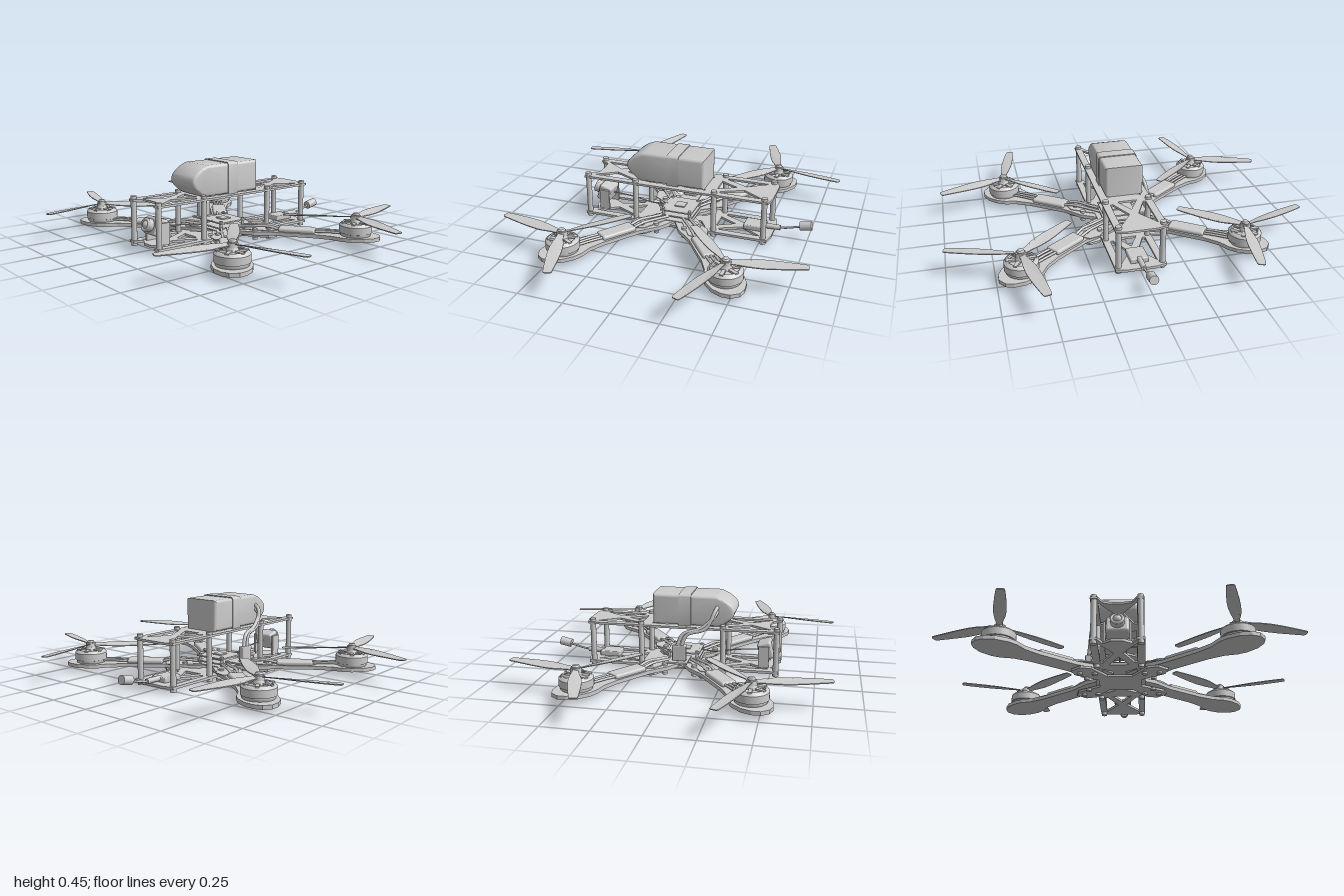
import * as THREE from 'three';
import { toCreasedNormals } from 'three/addons/utils/BufferGeometryUtils.js';
import { RoundedBoxGeometry } from 'three/addons/geometries/RoundedBoxGeometry.js';

const grey = new THREE.MeshStandardMaterial({ color: 0xcccccc, side: THREE.DoubleSide });
const V = (x, y, z) => new THREE.Vector3(x, y, z);

function add(parent, name, geo, x = 0, y = 0, z = 0) {
  const m = new THREE.Mesh(geo, grey);
  m.name = name;
  m.position.set(x, y, z);
  parent.add(m);
  return m;
}
const cyl = (r, h, n = 20, r2 = r) => new THREE.CylinderGeometry(r2, r, h, n);
const tube = (pts, r) => new THREE.TubeGeometry(new THREE.CatmullRomCurve3(pts), 20, r, 8);
const path = (pts) => pts.map(([x, y]) => new THREE.Vector2(x, y));
const mirror = (pts) => pts.map(([x, z]) => [-x, z]).reverse();
const flipZ = (pts) => pts.map(([x, z]) => [x, -z]).reverse();

// Flat plate: outline and holes are given as [x, z]
function plate(outline, holes, bottom, thick) {
  const s = new THREE.Shape(path(outline));
  for (const h of holes) s.holes.push(new THREE.Path(path(h)));
  const g = new THREE.ExtrudeGeometry(s, { depth: thick, bevelEnabled: false });
  return g.rotateX(Math.PI / 2).translate(0, bottom + thick, 0);
}

// Long frame plate with truss cutouts and a notch for the camera
function framePlate(bottom, thick, notch) {
  const half = [[0.08, -0.56], [0.14, -0.545], [0.14, 0.55], [0.1, 0.55],
    [0.075, 0.5], [0.03, notch]];
  const side = [[0.1, -0.5], [0.1, -0.26], [0.085, -0.26], [0.025, -0.385]];
  const tri = [[0, -0.335], [0.055, -0.235], [-0.055, -0.235]];
  const slot = [[0.035, 0.05], [0.095, 0.05], [0.095, 0.18], [0.035, 0.14]];
  const holes = [side, mirror(side), flipZ(side), flipZ(mirror(side)), tri, flipZ(tri),
    slot, mirror(slot), flipZ(slot), flipZ(mirror(slot))];
  return plate([...half, ...mirror(half)], holes, bottom, thick);
}

function bolt(parent, x, y, z, r = 0.015, h = 0.014) {
  add(parent, 'bolt', cyl(r, h, 14), x, y, z);
}

// Motor with spoked bell, built around its own axis
function motor() {
  const g = new THREE.Group();
  g.name = 'motor';
  const shell = [[0, 0.05], [0.082, 0.05], [0.085, 0.056], [0.085, 0.066], [0.091, 0.068], [0.091, 0.108],
    [0.086, 0.115], [0.072, 0.124], [0.066, 0.12], [0.083, 0.106], [0.083, 0.075]];
  add(g, 'motorBell', toCreasedNormals(new THREE.LatheGeometry(path(shell), 40), 0.6));
  add(g, 'stator', cyl(0.07, 0.045, 24), 0, 0.08, 0);
  add(g, 'bellCap', cyl(0.034, 0.02, 24, 0.026), 0, 0.128, 0);
  for (let i = 0; i < 6; i++) {
    const spoke = new THREE.BoxGeometry(0.06, 0.011, 0.02).translate(0.05, 0, 0);
    add(g, 'bellSpoke', spoke, 0, 0.12, 0).rotation.y = i * Math.PI / 3;
  }
  return g;
}

// Three-bladed propeller; spin gives the twist direction
function propeller(angle, spin) {
  const g = new THREE.Group();
  g.name = 'propeller';
  const s = new THREE.Shape();
  s.moveTo(0.01, -0.014);
  s.splineThru(path([[0.06, -0.018], [0.14, -0.031], [0.24, -0.032], [0.34, -0.026], [0.39, -0.022]]));
  s.quadraticCurveTo(0.403, -0.02, 0.403, -0.01);
  s.lineTo(0.402, 0.012);
  s.quadraticCurveTo(0.4, 0.021, 0.388, 0.022);
  s.splineThru(path([[0.3, 0.029], [0.2, 0.033], [0.12, 0.027], [0.06, 0.018], [0.01, 0.014]]));
  const blade = new THREE.ExtrudeGeometry(s, { depth: 0.005, bevelEnabled: false, curveSegments: 5 });
  blade.rotateX(Math.PI / 2).translate(0, 0.003, 0);
  const p = blade.attributes.position;
  for (let i = 0; i < p.count; i++) {
    p.setY(i, p.getY(i) + spin * p.getZ(i) * 0.3 * (1 - p.getX(i) / 0.45));
  }
  blade.computeVertexNormals();
  for (let k = 0; k < 3; k++) {
    add(g, 'blade', blade, 0, 0.152, 0).rotation.y = angle + k * Math.PI * 2 / 3;
  }
  add(g, 'propellerHub', cyl(0.03, 0.022, 24, 0.027), 0, 0.15, 0);
  const nut = [[0.021, 0.158], [0.021, 0.167], [0.015, 0.175], [0, 0.178]];
  add(g, 'propellerNut', toCreasedNormals(new THREE.LatheGeometry(path(nut), 16), 0.6));
  return g;
}

// Arm along local +x with motor controller, wires and bolts
function arm() {
  const g = new THREE.Group();
  g.name = 'arm';
  const edge = [[0.03, 0.06], [0.2, 0.075], [0.32, 0.052], [0.55, 0.055], [0.64, 0.068], [0.7, 0.095],
    [0.75, 0.103], [0.82, 0.092], [0.87, 0.062], [0.897, 0.025]];
  const outline = [...edge, ...edge.map(([d, w]) => [d, -w]).reverse()];
  add(g, 'armPlate', plate(outline, [], 0.029, 0.021));
  add(g, 'speedController', new RoundedBoxGeometry(0.21, 0.028, 0.088, 4, 0.012), 0.435, 0.059, 0);
  for (const w of [-0.024, 0, 0.024]) {
    add(g, 'motorWire', tube([V(0.53, 0.06, w), V(0.6, 0.063, w), V(0.7, 0.062, w * 0.9)], 0.007));
  }
  for (const w of [-0.018, 0.018]) {
    add(g, 'powerWire', tube([V(0.34, 0.06, w), V(0.27, 0.075, w * 1.2), V(0.18, 0.07, w), V(0.1, 0.065, w)], 0.008));
  }
  for (const [d, w] of [[0.2, -0.042], [0.27, 0.0], [0.2, 0.042]]) {
    bolt(g, d, 0.056, w);
    bolt(g, d, 0.007, w);
  }
  return g;
}

export function createModel() {
  const model = new THREE.Group();
  model.name = 'quadcopter';

  // Frame plates and the cross brace beneath
  add(model, 'topPlate', framePlate(0.255, 0.012, 0.49));
  add(model, 'bottomPlate', framePlate(0.023, 0.014, 0.53));
  const q = [[0.07, -0.1], [0.15, -0.215], [0.21, -0.23], [0.265, -0.185], [0.25, -0.13], [0.12, -0.05]];
  const right = [...q, ...flipZ(q)];
  add(model, 'crossBrace', plate([...right, ...mirror(right)], [], 0.011, 0.013));
  add(model, 'upperBrace', plate([...right, ...mirror(right)], [], 0.049, 0.005));

  // Standoffs with bolts at both ends
  for (const x of [-0.12, 0.12]) {
    for (const z of [-0.522, -0.235, 0.235, 0.533]) {
      add(model, 'standoff', cyl(0.016, 0.22), x, 0.146, z);
      bolt(model, x, 0.274, z, 0.017, 0.018);
      bolt(model, x, 0.014, z, 0.017, 0.018);
    }
  }

  // Four arms, motors and propellers
  for (const sx of [-1, 1]) {
    for (const sz of [-1, 1]) {
      const a = arm();
      a.rotation.y = Math.atan2(-sz * 0.45, sx * 0.615);
      const m = motor();
      const p = propeller(Math.atan2(-sz * 0.39, -sx * 0.08), sx * sz);
      for (const part of [m, p]) part.position.set(sx * 0.615, 0, sz * 0.45);
      model.add(a, m, p);
    }
  }

  // Battery with a tapered nose, and its strap
  const s = new THREE.Shape();
  s.moveTo(-0.17, 0.268);
  s.lineTo(0.21, 0.268);
  s.quadraticCurveTo(0.25, 0.285, 0.285, 0.325);
  s.quadraticCurveTo(0.305, 0.355, 0.285, 0.385);
  s.quadraticCurveTo(0.25, 0.425, 0.19, 0.442);
  s.lineTo(-0.17, 0.442);
  const b = 0.016;
  const body = new THREE.ExtrudeGeometry(s, { depth: 0.214 - 2 * b, bevelSize: b, bevelThickness: b,
    bevelOffset: -b, bevelSegments: 4, curveSegments: 8 });
  body.translate(0, 0, -0.107 + b).rotateY(-Math.PI / 2);
  add(model, 'battery', toCreasedNormals(body, 0.6), -0.002, 0, 0);
  const band = new RoundedBoxGeometry(0.222, 0.198, 0.3, 4, 0.018);
  const bp = band.attributes.position;
  for (let i = 0; i < bp.count; i++) bp.setZ(i, Math.sign(bp.getZ(i)) * 0.035);
  band.computeVertexNormals();
  add(model, 'batteryStrap', toCreasedNormals(band, 0.6), -0.002, 0.348, 0.015);

  // Power leads and connector
  for (const o of [-0.012, 0.012]) {
    add(model, 'batteryLead', tube([V(-0.1, 0.37 + o, 0.2), V(-0.135, 0.35 + o, 0.19), V(-0.16, 0.27, 0.13 + o),
      V(-0.175, 0.235, 0.03 + o), V(-0.185, 0.17, o)], 0.011));
  }
  add(model, 'connector', new RoundedBoxGeometry(0.035, 0.09, 0.078, 2, 0.006), -0.185, 0.13, 0);
  add(model, 'connectorTab', new THREE.BoxGeometry(0.14, 0.01, 0.11), -0.158, 0.08, -0.005);

  // Stacked circuit boards on posts
  for (const y of [0.068, 0.098]) {
    add(model, 'circuitBoard', new THREE.BoxGeometry(0.19, 0.008, 0.19), 0, y, 0);
    add(model, 'chip', new THREE.BoxGeometry(0.06, 0.008, 0.06), 0, y + 0.007, 0);
  }
  for (const x of [-0.08, 0.08]) {
    for (const z of [-0.08, 0.08]) add(model, 'boardPost', cyl(0.009, 0.075, 12), x, 0.073, z);
  }

  // Front camera, tilted slightly upward
  const cam = new THREE.Group();
  cam.name = 'camera';
  cam.position.set(0, 0.125, 0.47);
  cam.rotation.x = -0.3;
  add(cam, 'cameraBody', new RoundedBoxGeometry(0.12, 0.1, 0.08, 3, 0.014));
  add(cam, 'lensBarrel', cyl(0.036, 0.035, 24).rotateX(Math.PI / 2), 0, 0, 0.052);
  add(cam, 'lensRing', new THREE.TorusGeometry(0.03, 0.008, 10, 24), 0, 0, 0.07);
  add(cam, 'lensGlass', new THREE.SphereGeometry(0.026, 20, 10), 0, 0, 0.06);
  model.add(cam);
  for (const x of [-0.075, 0.075]) {
    add(model, 'cameraBracket', new THREE.BoxGeometry(0.012, 0.12, 0.06), x * 0.9, 0.095, 0.46);
  }
  add(model, 'cameraWire', tube([V(0, 0.12, 0.43), V(0, 0.11, 0.3), V(0, 0.09, 0.17), V(0, 0.1, 0.08)], 0.004));

  // Rear antenna
  add(model, 'antennaSocket', cyl(0.015, 0.1, 14).rotateX(Math.PI / 2), 0, 0.056, -0.545);
  add(model, 'antennaCable', tube([V(0, 0.056, -0.56), V(0, 0.06, -0.62), V(0, 0.075, -0.68), V(0, 0.085, -0.72)], 0.006));
  add(model, 'antennaTip', cyl(0.025, 0.066, 20).rotateX(Math.PI / 2 + 0.2), 0, 0.092, -0.738);
  add(model, 'transmitter', new RoundedBoxGeometry(0.1, 0.03, 0.12, 2, 0.006), 0, 0.05, -0.45);

  return model;
}
